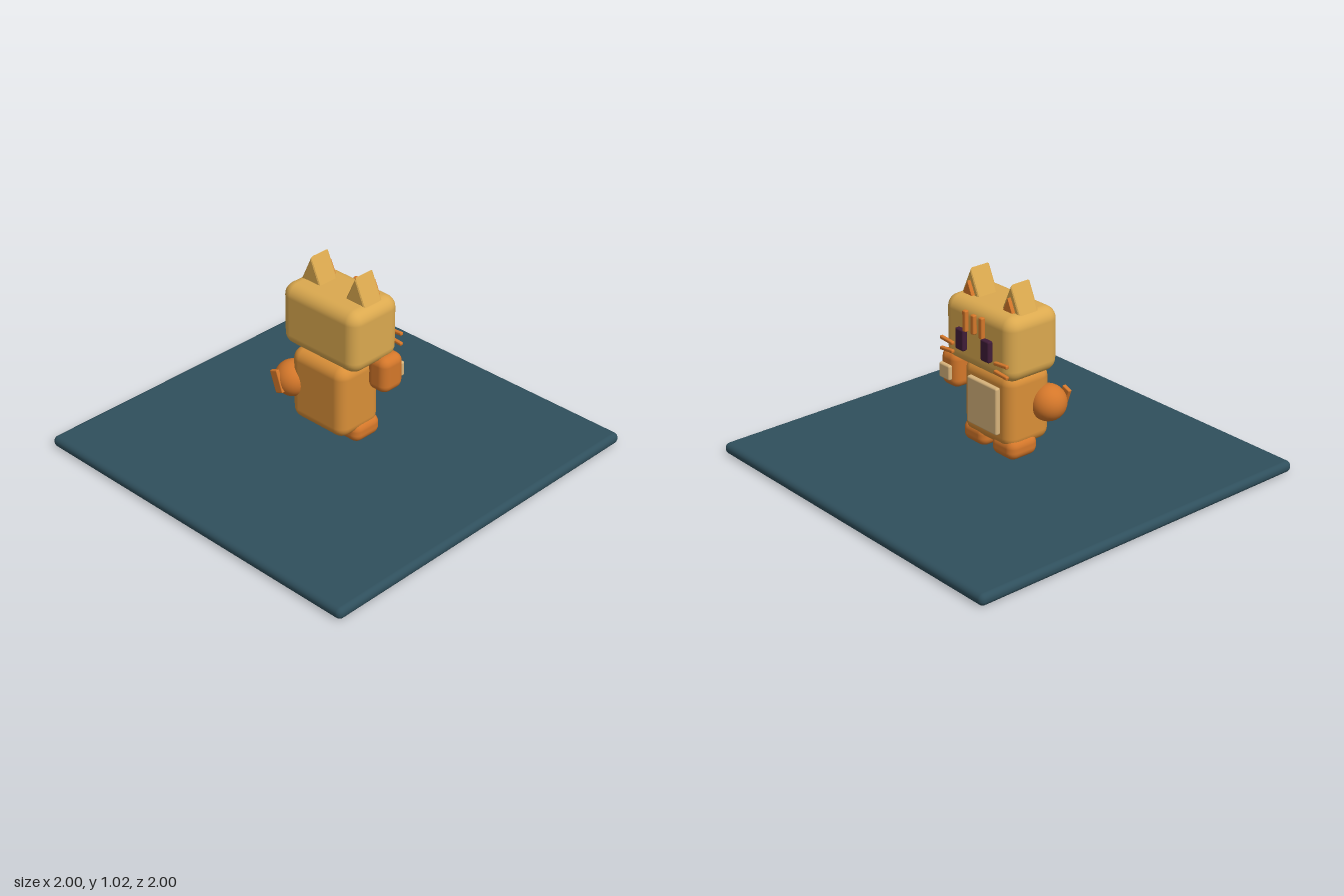
import * as THREE from 'three';
import { RoundedBoxGeometry } from 'three/addons/geometries/RoundedBoxGeometry.js';

const colour = (name, color) => {
  const m = new THREE.MeshStandardMaterial({ color });
  m.name = name;
  return m;
};

export function createModel() {
  const root = new THREE.Group();
  root.name = 'blockCat';
  const slate = colour('slate', 0x2f4f5c);
  const sand = colour('sand', 0xdba94f);
  const amber = colour('amber', 0xd98f38);
  const orange = colour('orange', 0xd4772a);
  const cream = colour('cream', 0xd8b47c);
  const plum = colour('plum', 0x401c38);

  const add = (name, geometry, material, x, y, z) => {
    const mesh = new THREE.Mesh(geometry, material);
    mesh.name = name;
    mesh.position.set(x, y, z);
    root.add(mesh);
    return mesh;
  };
  // rounded block given by its size and centre
  const block = (name, material, [w, h, d], r, x, y, z) =>
    add(name, new RoundedBoxGeometry(w, h, d, 4, r), material, x, y, z);
  // softly bevelled triangular prism, base at y = 0, centred on z
  const prism = (w, h, d, bevel) => {
    const s = new THREE.Shape();
    s.moveTo(-w / 2, 0);
    s.lineTo(w / 2, 0);
    s.lineTo(0, h);
    s.closePath();
    const g = new THREE.ExtrudeGeometry(s, {
      depth: d - 2 * bevel, bevelEnabled: true, bevelThickness: bevel,
      bevelSize: bevel, bevelOffset: -bevel, bevelSegments: 2,
    });
    g.translate(0, 0, -d / 2 + bevel);
    return g;
  };

  // base plate
  block('basePlate', slate, [2, 0.06, 2], 0.028, 0, 0.032, 0);

  // body and head, the face looks towards -z
  block('body', amber, [0.36, 0.395, 0.275], 0.06, 0, 0.358, 0.008);
  block('bellyPatch', cream, [0.22, 0.25, 0.03], 0.01, 0, 0.36, -0.14);
  block('head', sand, [0.5, 0.335, 0.32], 0.065, 0, 0.717, -0.025);

  // mirrored parts
  for (const s of [-1, 1]) {
    block('foot', orange, [0.17, 0.11, 0.18], 0.045, s * 0.107, 0.16, -0.035);
    add('ear', prism(0.14, 0.15, 0.12, 0.012), sand, s * 0.147, 0.868, -0.035);
    add('innerEar', prism(0.066, 0.07, 0.03, 0.003), orange, s * 0.147, 0.887, -0.1);
    block('eye', plum, [0.06, 0.11, 0.03], 0.008, s * 0.094, 0.695, -0.2);
    [0.655, 0.605].forEach((y, i) => {
      const whisker = block('whisker', orange, [0.095, 0.018, 0.02], 0.006, s * 0.2, y, -0.2);
      whisker.rotation.z = s * (i ? -0.08 : 0.08);
    });
  }

  // forehead stripes
  for (const x of [-0.06, 0, 0.06])
    block('foreheadStripe', orange, [0.026, x ? 0.11 : 0.1, 0.025], 0.007, x, 0.8, -0.2);

  // raised arm with a paw pad
  block('arm', orange, [0.13, 0.195, 0.145], 0.045, 0.225, 0.487, -0.108);
  block('pawPad', cream, [0.08, 0.08, 0.025], 0.01, 0.23, 0.477, -0.187);

  // round tail with a tilted stripe
  add('tail', new THREE.SphereGeometry(0.094, 32, 20), orange, -0.188, 0.365, 0.112);
  block('tailStripe', orange, [0.05, 0.12, 0.022], 0.005, -0.207, 0.373, 0.2).rotation.z = 0.36;

  return root;
}
